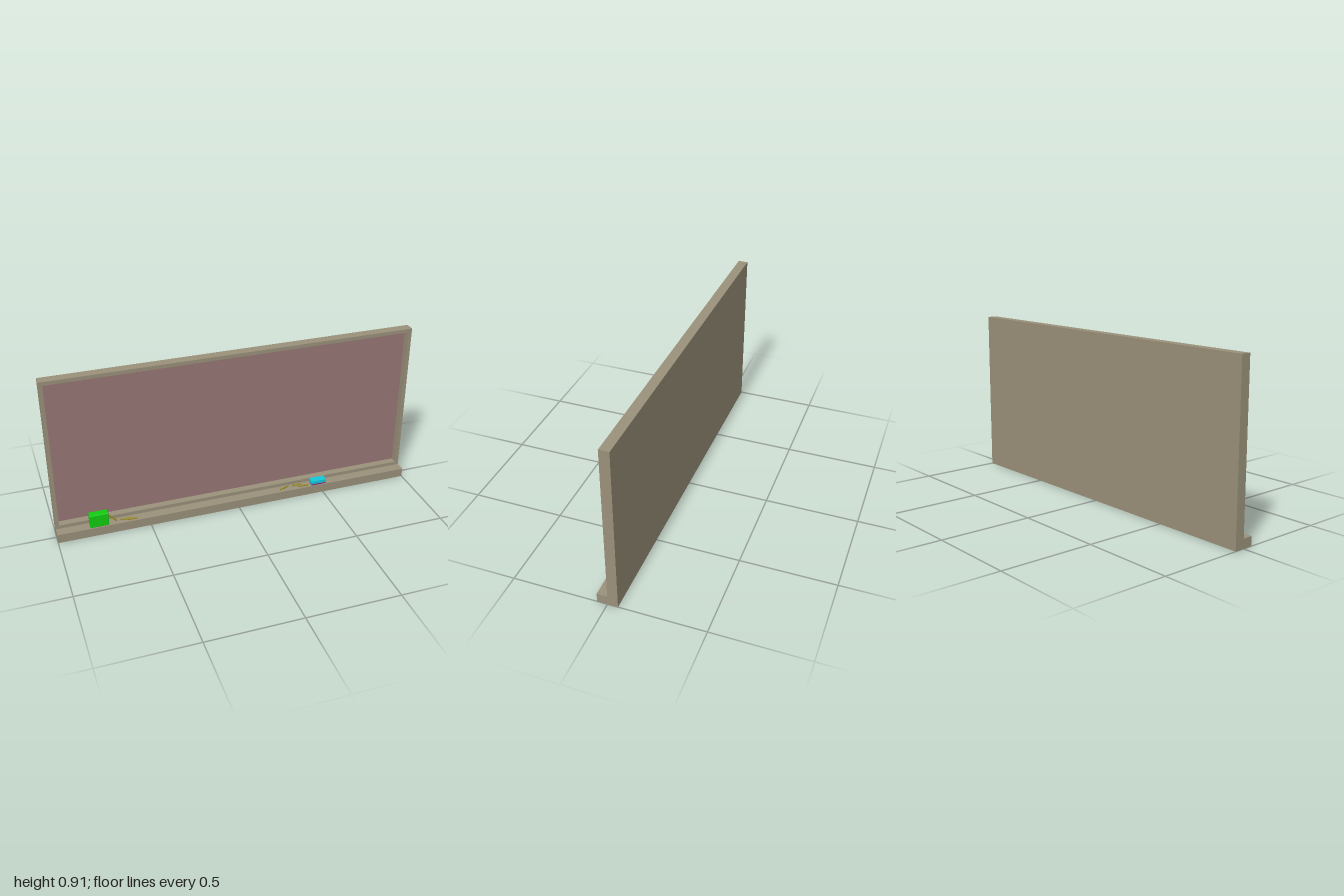
import * as THREE from 'three';
import { RoundedBoxGeometry } from 'three/addons/geometries/RoundedBoxGeometry.js';

const material = (color) => new THREE.MeshStandardMaterial({ color });

export function createModel() {
  const model = new THREE.Group();
  const wood = material(0x9a917a);
  const chalkColor = material(0x9a8a18);

  const add = (name, geometry, mat, x = 0, y = 0, z = 0) => {
    const mesh = new THREE.Mesh(geometry, mat);
    mesh.name = name;
    mesh.position.set(x, y, z);
    model.add(mesh);
    return mesh;
  };

  // Frame: a rectangle with the writing area cut out
  const outline = new THREE.Shape([
    new THREE.Vector2(-1, 0), new THREE.Vector2(1, 0),
    new THREE.Vector2(1, 0.91), new THREE.Vector2(-1, 0.91),
  ]);
  outline.holes.push(new THREE.Path([
    new THREE.Vector2(-0.98, 0.07), new THREE.Vector2(-0.98, 0.89),
    new THREE.Vector2(0.98, 0.89), new THREE.Vector2(0.98, 0.07),
  ]));
  add('frame', new THREE.ExtrudeGeometry(outline, { depth: 0.053, bevelEnabled: false }), wood, 0, 0, -0.054);

  // Recessed writing panel and the flush backing behind it
  add('writingPanel', new THREE.BoxGeometry(1.96, 0.82, 0.006), material(0x987676), 0, 0.48, -0.043);
  add('backing', new THREE.BoxGeometry(1.96, 0.82, 0.008), wood, 0, 0.48, -0.05);

  // Chalk ledge
  add('tray', new THREE.BoxGeometry(2, 0.05, 0.055), wood, 0, 0.025, 0.0265);

  // Chalk box
  add('chalkBox', new RoundedBoxGeometry(0.1, 0.075, 0.042, 2, 0.004), material(0x11cc11), -0.775, 0.0875, 0.029);

  // Eraser: felt pad under a coloured block
  add('eraserFelt', new THREE.BoxGeometry(0.082, 0.008, 0.038), material(0x8a1a7a), 0.475, 0.054, 0.029);
  add('eraserBlock', new THREE.BoxGeometry(0.088, 0.018, 0.042), material(0x14c8d8), 0.475, 0.067, 0.029);

  // Chalk sticks, each given by its two ends
  const up = new THREE.Vector3(0, 1, 0);
  const sticks = [
    [-0.725, 0.099, 0.027, -0.682, 0.055, 0.027],
    [-0.66, 0.054, 0.024, -0.6, 0.054, 0.029],
    [-0.63, 0.054, 0.037, -0.572, 0.054, 0.037],
    [0.247, 0.054, 0.035, 0.302, 0.054, 0.014],
    [0.325, 0.054, 0.018, 0.382, 0.054, 0.018],
    [0.358, 0.054, 0.037, 0.415, 0.054, 0.037],
  ];
  for (const [ax, ay, az, bx, by, bz] of sticks) {
    const a = new THREE.Vector3(ax, ay, az);
    const b = new THREE.Vector3(bx, by, bz);
    const stick = add('chalkStick', new THREE.CylinderGeometry(0.004, 0.004, a.distanceTo(b), 12), chalkColor);
    stick.position.copy(a).add(b).multiplyScalar(0.5);
    stick.quaternion.setFromUnitVectors(up, b.sub(a).normalize());
  }

  return model;
}
